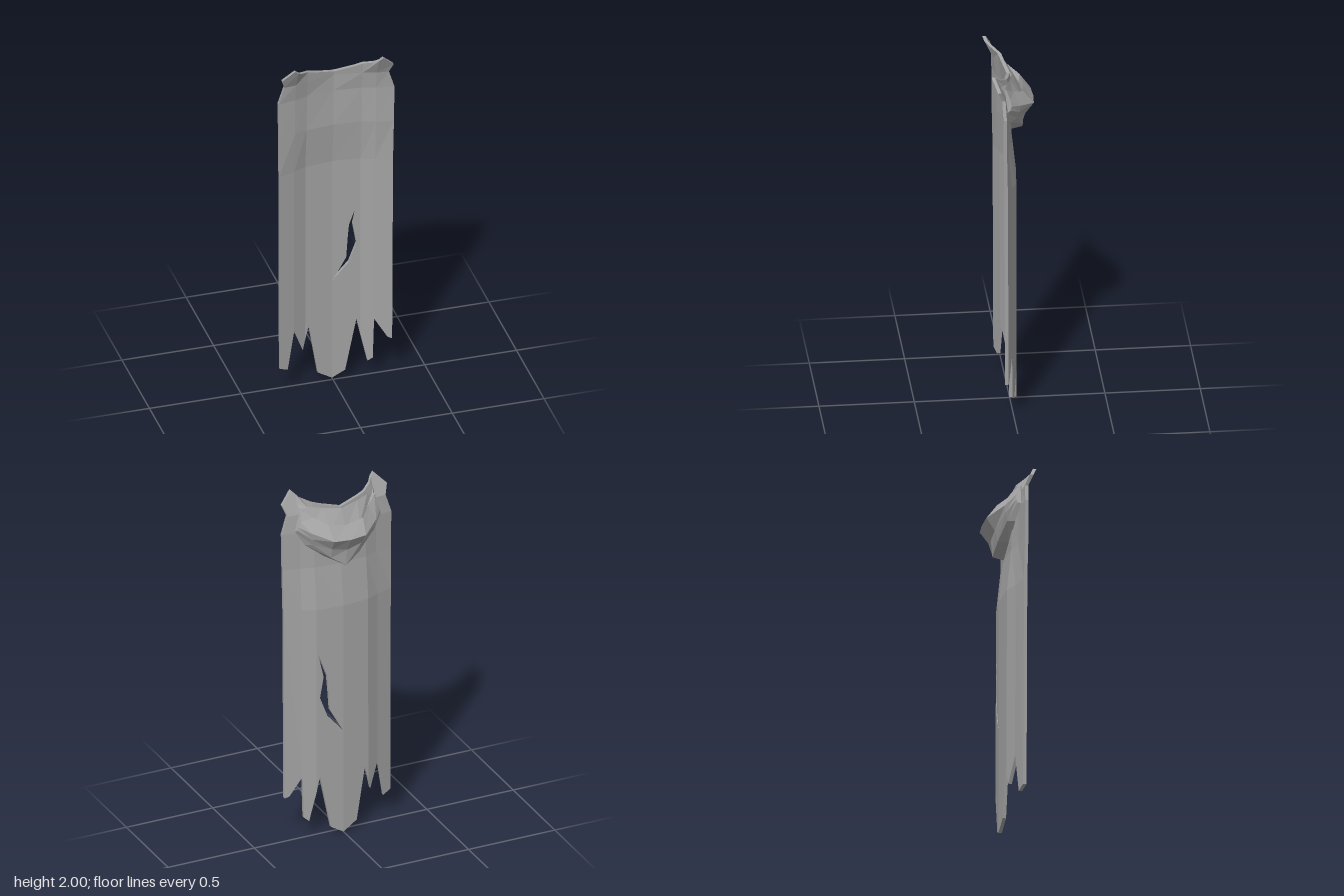
import * as THREE from 'three';

const cloth = new THREE.MeshStandardMaterial({ color: 0xa3a3a3, flatShading: true, side: THREE.DoubleSide });
cloth.name = 'grey cloth';

const THICK = 0.018;
const KNOTS = [0, 0.15, 0.22, 0.31];

// Depth of the cloth's back face: one row per height, one value per knot
const ROWS = [
  [0, [-0.036, -0.022, 0.01, 0.036]],
  [1.33, [-0.034, -0.02, 0.012, 0.04]],
  [1.57, [-0.008, 0.004, 0.028, 0.045]],
  [1.78, [-0.008, 0.008, 0.03, 0.046]],
  [1.88, [-0.004, 0.022, 0.044, 0.05]],
  [2.0, [0.01, 0.036, 0.102, 0.1]],
];
const WIDTH = [[0, 0.95], [1.33, 1.0], [1.78, 1.07], [1.88, 0.72], [1.94, 0.95], [2, 1]];
// Torn hem
const HEM = [[-0.31, 0.15], [-0.26, 0.13], [-0.22, 0.35], [-0.165, 0.21], [-0.13, 0.35], [-0.08, 0.05],
  [0, 0], [0.07, 0.04], [0.13, 0.35], [0.185, 0.09], [0.21, 0.11], [0.216, 0.35], [0.285, 0.24], [0.31, 0.23]];
const TEAR = [[0.004, 0.6], [0.09, 0.7], [0.13, 0.81], [0.11, 0.93], [0.14, 1.07], [0.09, 0.93], [0.083, 0.85], [0.075, 0.73]];

// Piecewise-linear lookup
function lerpTable(table, t) {
  if (t <= table[0][0]) return table[0][1];
  for (let i = 1; i < table.length; i++) {
    const [a, va] = table[i - 1], [b, vb] = table[i];
    if (t <= b) return va + (vb - va) * (t - a) / (b - a);
  }
  return table[table.length - 1][1];
}

function depthAt(x, y) {
  return lerpTable(ROWS.map(([h, zs]) => [h, lerpTable(KNOTS.map((k, i) => [k, zs[i]]), Math.abs(x))]), y);
}

// Extrudes a flat outline and bends it onto the draped surface
function drape(outline, hole) {
  const shape = new THREE.Shape(outline.map(p => new THREE.Vector2(...p)));
  if (hole) shape.holes.push(new THREE.Path(hole.map(p => new THREE.Vector2(...p))));
  const geo = new THREE.ExtrudeGeometry(shape, { depth: THICK, bevelEnabled: false });
  const pos = geo.attributes.position;
  for (let i = 0; i < pos.count; i++) {
    const x = pos.getX(i), y = pos.getY(i), ax = Math.abs(x);
    const wx = ax > 0.22 ? 0.22 + (ax - 0.22) * lerpTable(WIDTH, y) : ax;
    pos.setXYZ(i, Math.sign(x) * wx, y, pos.getZ(i) + depthAt(x, y));
  }
  geo.computeVertexNormals();
  return geo;
}

function add(group, name, geo) {
  const mesh = new THREE.Mesh(geo, cloth);
  mesh.name = name;
  group.add(mesh);
}

// Hood cross-sections from the middle outwards:
// seam, lower fold, under bulge, bulge, rim, inner floor, neck
const HOOD = [
  [[0, 1.57, 0], [0, 1.585, -0.068], [0, 1.68, -0.076], [0, 1.76, -0.125], [0, 1.825, -0.072], [0, 1.785, -0.066], [0, 1.895, -0.012]],
  [[0.1, 1.63, 0.004], [0.08, 1.64, -0.055], [0.085, 1.7, -0.072], [0.091, 1.765, -0.118], [0.1, 1.84, -0.062], [0.085, 1.8, -0.055], [0.1, 1.91, 0.008]],
  [[0.2, 1.71, 0.015], [0.17, 1.72, -0.022], [0.18, 1.76, -0.034], [0.188, 1.8, -0.038], [0.16, 1.87, -0.005], [0.15, 1.85, 0.0], [0.17, 1.92, 0.032]],
  [[0.25, 1.79, 0.038], [0.24, 1.8, 0.018], [0.235, 1.82, 0.014], [0.225, 1.85, 0.016], [0.215, 1.91, 0.04], [0.21, 1.91, 0.045], [0.22, 1.93, 0.066]],
];

function hoodGeometry() {
  const mirror = s => s.map(([x, y, z]) => [-x, y, z]);
  const stations = [...HOOD.slice(1).reverse().map(mirror), ...HOOD];
  const n = HOOD[0].length, index = [];
  for (let s = 0; s < stations.length - 1; s++) {
    for (let j = 0; j < n - 1; j++) {
      const a = s * n + j, b = a + n;
      index.push(a, a + 1, b, b, a + 1, b + 1);
    }
  }
  // Close both shoulder ends
  const last = (stations.length - 1) * n;
  for (let j = 1; j < n - 1; j++) index.push(0, j + 1, j, last, last + j, last + j + 1);
  const geo = new THREE.BufferGeometry();
  geo.setAttribute('position', new THREE.Float32BufferAttribute(stations.flat(2), 3));
  geo.setIndex(index);
  geo.computeVertexNormals();
  return geo;
}

export function createModel() {
  const model = new THREE.Group();
  model.name = 'tatteredCape';
  const cape = new THREE.Group();
  cape.name = 'cape';
  const collar = new THREE.Group();
  collar.name = 'collar';
  model.add(cape, collar);

  const edges = [...KNOTS.slice(1).reverse().map(k => -k), ...KNOTS];
  for (let i = 0; i < edges.length - 1; i++) {
    const l = edges[i], r = edges[i + 1];
    // Lower panel follows the torn hem
    const hem = [[l, lerpTable(HEM, l)], ...HEM.filter(([x]) => x > l && x < r), [r, lerpTable(HEM, r)]];
    add(cape, 'lowerPanel', drape([...hem, [r, 1.33], [l, 1.33]], l === 0 ? TEAR : null));
    // Upper panels
    for (const [lo, hi] of [[1.33, 1.57], [1.57, 1.78], [1.78, 1.88]]) {
      add(cape, 'upperPanel', drape([[l, lo], [r, lo], [r, hi], [l, hi]]));
    }
  }

  // Collar with flared corner points
  for (const s of [-1, 1]) {
    const side = pts => drape(pts.map(([x, y]) => [s * x, y]));
    add(collar, 'collarMiddle', side([[0, 1.88], [0.15, 1.88], [0.15, 1.94], [0.105, 1.925], [0, 1.9]]));
    add(collar, 'collarSide', side([[0.15, 1.88], [0.22, 1.88], [0.22, 1.98], [0.2, 1.96], [0.15, 1.94]]));
    add(collar, 'collarPoint', side([[0.22, 1.88], [0.31, 1.88], [0.31, 1.935], [0.24, 2], [0.22, 1.98]]));
  }

  add(model, 'hood', hoodGeometry());
  return model;
}
